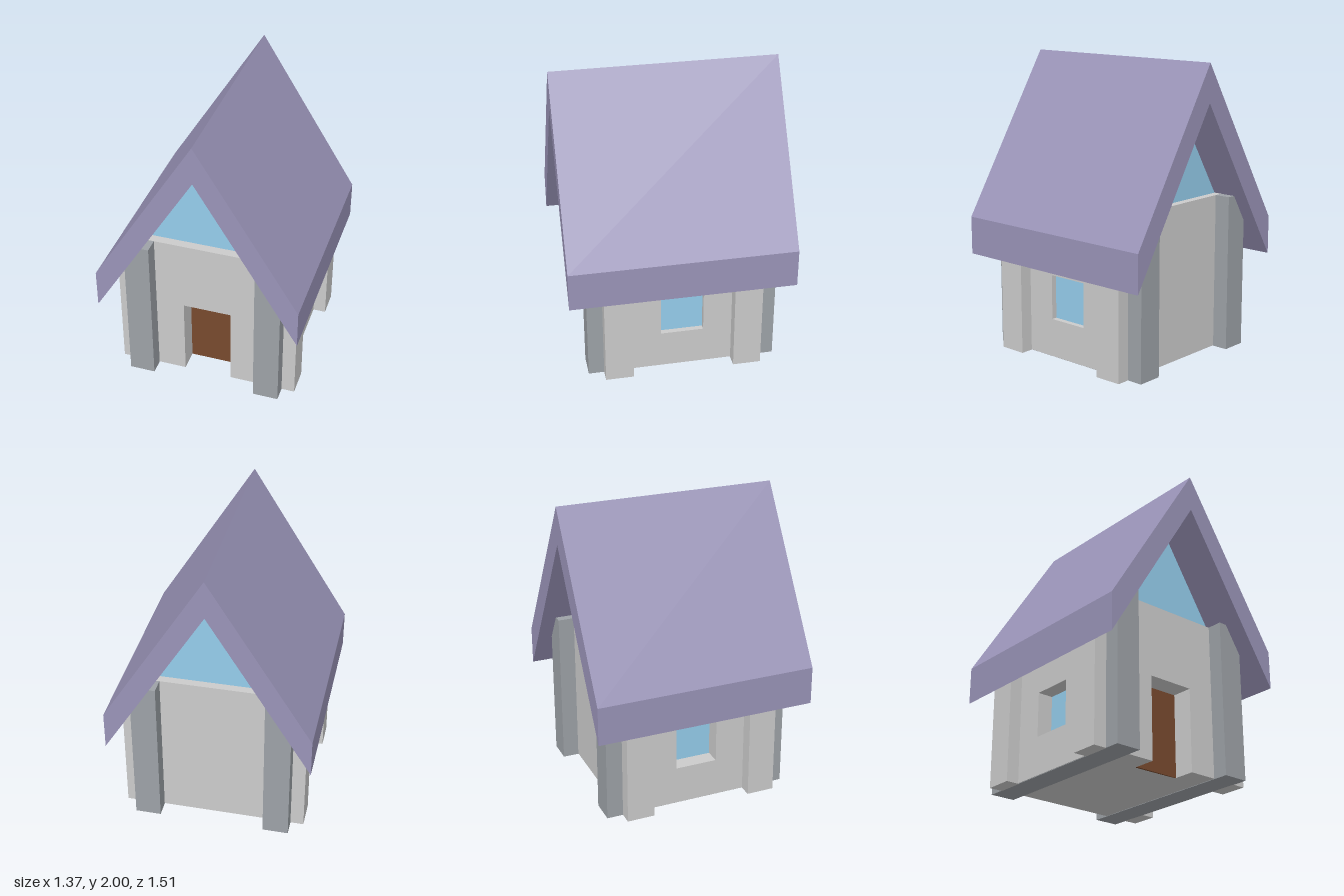
import * as THREE from 'three';

const paint = (color) => new THREE.MeshStandardMaterial({ color, flatShading: true });
const grey = paint(0xcccccc);
const slate = paint(0x9da2a7);
const purple = paint(0x9a94b8);
const sky = paint(0x95cdec);
const brown = paint(0x784a2e);

const EAVE_X = 0.685, EAVE_Y = 0.64, RIDGE_Y = 1.745, WALL_TOP = 1.07;
const FRONT = 0.525, BACK = -0.545, WALL_X = 0.537, BASE = 0.003;
const DOOR_X = 0.165, DOOR_H = 0.57, DOOR_Z = 0.375;

// Height and half width of the space under the roof
const slope = (RIDGE_Y - EAVE_Y) / EAVE_X;
const roofY = (x) => RIDGE_Y - slope * Math.abs(x);
const topX = (RIDGE_Y - WALL_TOP) / slope;

export function createModel() {
  const house = new THREE.Group();
  house.name = 'house';

  const add = (name, geometry, material) => {
    const mesh = new THREE.Mesh(geometry, material);
    mesh.name = name;
    house.add(mesh);
    return mesh;
  };
  const shapeOf = (points) => new THREE.Shape(points.map(([x, y]) => new THREE.Vector2(x, y)));

  // Extrude an outline in x, y from z0 to z1
  const prism = (name, points, z0, z1, material) => {
    const g = new THREE.ExtrudeGeometry(shapeOf(points), { depth: z1 - z0, bevelEnabled: false });
    return add(name, g.translate(0, 0, z0), material);
  };
  const box = (name, x0, x1, y0, y1, z0, z1, material) => {
    const g = new THREE.BoxGeometry(x1 - x0, y1 - y0, z1 - z0);
    return add(name, g.translate((x0 + x1) / 2, (y0 + y1) / 2, (z0 + z1) / 2), material);
  };
  // Upper outline from x1 to x0, cut off by the wall top and the roof
  const topLine = (x0, x1) => [x1, topX, -topX, x0]
    .filter((x, i) => i % 3 === 0 || (x > x0 && x < x1))
    .map((x) => [x, Math.min(WALL_TOP, roofY(x))]);

  // Roof with vertical eaves
  prism('roof', [[0, 2], [-EAVE_X, 0.9], [-EAVE_X, EAVE_Y], [0, RIDGE_Y], [EAVE_X, EAVE_Y], [EAVE_X, 0.9]],
    -0.757, 0.757, purple);

  // Glazed gable, set back from the walls
  prism('gable', [[-topX, WALL_TOP], [topX, WALL_TOP], [0, RIDGE_Y]], -0.49, 0.465, sky);

  // Inner body; the windows lie on its sides
  const paneX = { 1: 0.495, '-1': -0.425 };
  prism('body', [[paneX[-1], BASE], [paneX[1], BASE], ...topLine(paneX[-1], paneX[1])], BACK, DOOR_Z, grey);

  // Front wall with the doorway
  prism('frontWall', [
    [-WALL_X, BASE], [-DOOR_X, BASE], [-DOOR_X, DOOR_H], [DOOR_X, DOOR_H], [DOOR_X, BASE], [WALL_X, BASE],
    ...topLine(-WALL_X, WALL_X),
  ], DOOR_Z, FRONT, grey);
  box('door', -DOOR_X, DOOR_X, BASE, DOOR_H, DOOR_Z - 0.01, DOOR_Z + 0.004, brown);

  for (const side of [1, -1]) {
    const label = side > 0 ? 'left' : 'right';
    const mirror = (points) => points.map(([x, y]) => [x * side, y]);

    // Side wall with a window opening, drawn in z, y and turned to face sideways
    const wall = shapeOf([[-DOOR_Z, BASE], [-BACK, BASE], [-BACK, roofY(WALL_X)], [-DOOR_Z, roofY(WALL_X)]]);
    wall.holes.push(new THREE.Path([[-0.13, 0.265], [-0.13, 0.57], [0.16, 0.57], [0.16, 0.265]]
      .map(([u, y]) => new THREE.Vector2(u, y))));
    const inner = Math.abs(paneX[side]);
    const g = new THREE.ExtrudeGeometry(wall, { depth: WALL_X - inner, bevelEnabled: false });
    g.rotateY(Math.PI / 2).translate(side > 0 ? inner : -WALL_X, 0, 0);
    add(label + 'Wall', g, grey);
    box(label + 'Window', paneX[side] - 0.004, paneX[side] + 0.004, 0.265, 0.57, -0.16, 0.13, sky);

    // Base runner between the front and back posts
    const runner = [0.36 * side, 0.533 * side].sort((a, b) => a - b);
    box(label + 'Runner', runner[0], runner[1], 0, 0.02, BACK, FRONT, slate);

    // Posts on the front and back, buttresses on the side
    const post = mirror([[0.36, 0], [0.535, 0], ...topLine(0.36, 0.535)]);
    const buttress = mirror([[0.53, 0], [0.625, 0], [0.625, roofY(0.625)], [0.53, roofY(0.53)]]);
    prism(label + 'FrontPost', post, FRONT, 0.63, slate);
    prism(label + 'BackPost', post, -0.655, BACK, slate);
    prism(label + 'FrontButtress', buttress, 0.335, FRONT, grey);
    prism(label + 'BackButtress', buttress, BACK, -0.355, grey);
  }
  return house;
}
